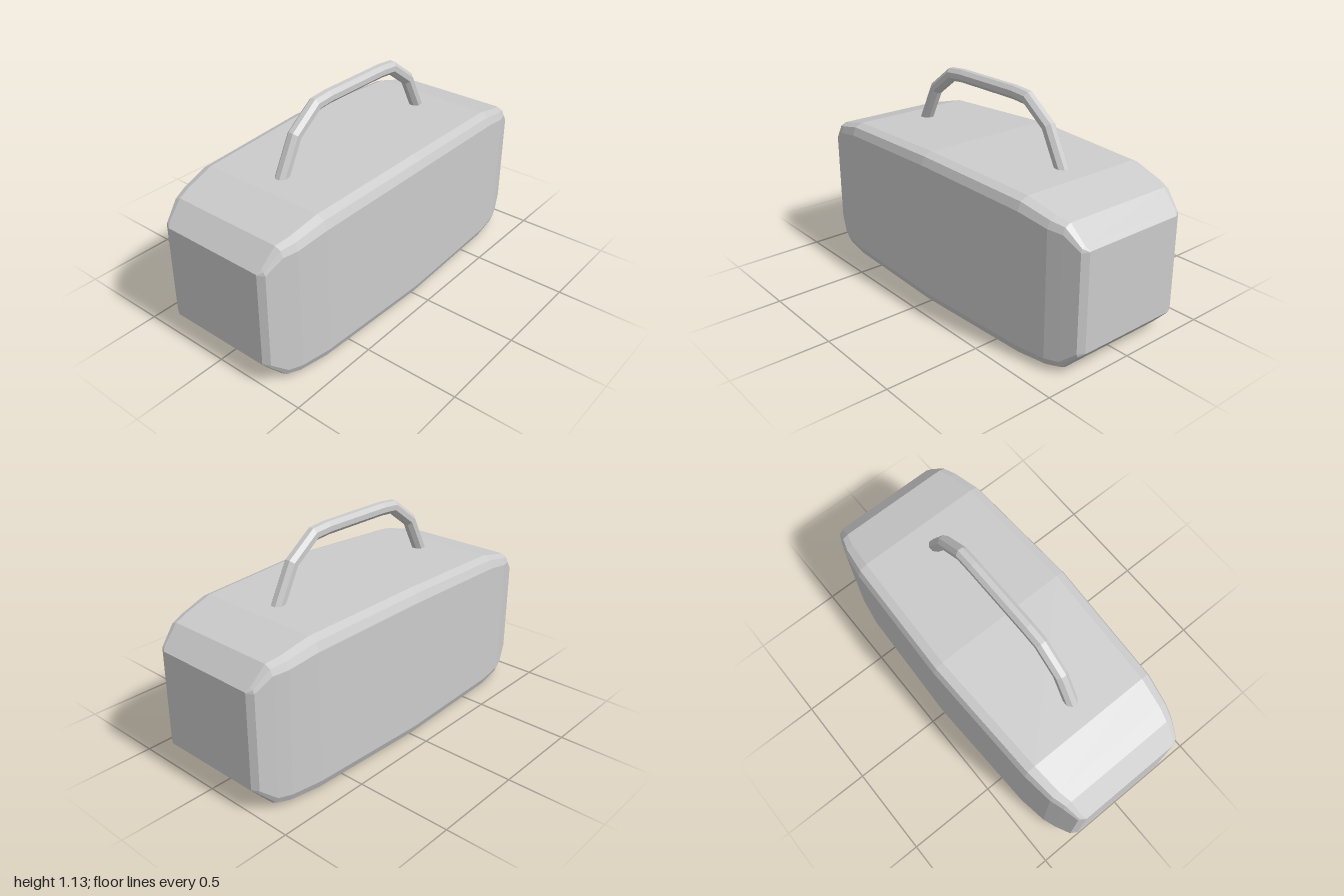
import * as THREE from 'three';

const material = new THREE.MeshStandardMaterial({ color: 0xcccccc, flatShading: true });

// Skin a list of rings (each counter-clockwise seen from +z, ordered along +z) and cap both ends
function loft(name, rings) {
  const n = rings[0].length, pos = [];
  const tri = (a, b, c) => pos.push(...a, ...b, ...c);
  for (let i = 0; i < rings.length - 1; i++) {
    for (let j = 0; j < n; j++) {
      const k = (j + 1) % n;
      const a = rings[i][j], b = rings[i][k], c = rings[i + 1][j], d = rings[i + 1][k];
      tri(a, b, d);
      tri(a, d, c);
    }
  }
  const first = rings[0], last = rings[rings.length - 1];
  for (let j = 1; j < n - 1; j++) {
    tri(first[0], first[j + 1], first[j]);
    tri(last[0], last[j], last[j + 1]);
  }
  const geo = new THREE.BufferGeometry();
  geo.setAttribute('position', new THREE.Float32BufferAttribute(pos, 3));
  geo.computeVertexNormals();
  const mesh = new THREE.Mesh(geo, material);
  mesh.name = name;
  return mesh;
}

// Rectangle section with two-step bevelled corners
function bodySection(z, w, y0, y1, c) {
  const m = c * 0.3;
  return [
    [w, y0 + c, z], [w, y1 - c, z], [w - m, y1 - m, z], [w - c, y1, z],
    [c - w, y1, z], [m - w, y1 - m, z], [-w, y1 - c, z], [-w, y0 + c, z],
    [m - w, y0 + m, z], [c - w, y0, z], [w - c, y0, z], [w - m, y0 + m, z],
  ];
}

// Mirror a half list of rows about z = 0; the first row is the centre or the innermost one
const mirrored = (half, flip) => [...half].reverse().map(flip).concat(half);

function createBody() {
  // z, half width, bottom, top, bevel
  const centre = [0, 0.425, 0, 0.82, 0.06];
  const half = [
    [0.67, 0.4, 0, 0.795, 0.06],
    [0.83, 0.375, 0.008, 0.753, 0.052],
    [0.9, 0.35, 0.02, 0.735, 0.045],
    [0.98, 0.32, 0.106, 0.651, 0.025],
    [1, 0.285, 0.128, 0.63, 0.004],
  ];
  const back = [...half].reverse().map(([z, ...r]) => [-z, ...r]);
  return loft('body', [...back, centre, ...half].map((s) => bodySection(...s)));
}

function createHandle() {
  // Centre line as z, y
  const path = mirrored(
    [[0.2, 1.095], [0.292, 1.087], [0.438, 0.979], [0.53, 0.8], [0.54, 0.78]],
    ([z, y]) => [-z, y]
  ).map(([z, y]) => new THREE.Vector2(z, y));
  const radius = 0.0355, sides = 8;
  const rings = path.map((p, i) => {
    const before = p.clone().sub(path[Math.max(i - 1, 0)]).normalize();
    const after = path[Math.min(i + 1, path.length - 1)].clone().sub(p).normalize();
    const t = before.clone().add(after).normalize();
    const mitre = 1 / Math.max(t.dot(i ? before : after), 0.5);
    return Array.from({ length: sides }, (_, j) => {
      const a = ((j + 0.5) / sides) * Math.PI * 2;
      const v = Math.sin(a) * radius * mitre;
      return [Math.cos(a) * radius, p.y + t.x * v, p.x - t.y * v];
    });
  });
  return loft('handle', rings);
}

export function createModel() {
  const group = new THREE.Group();
  group.name = 'carryCase';
  group.add(createBody(), createHandle());
  return group;
}
